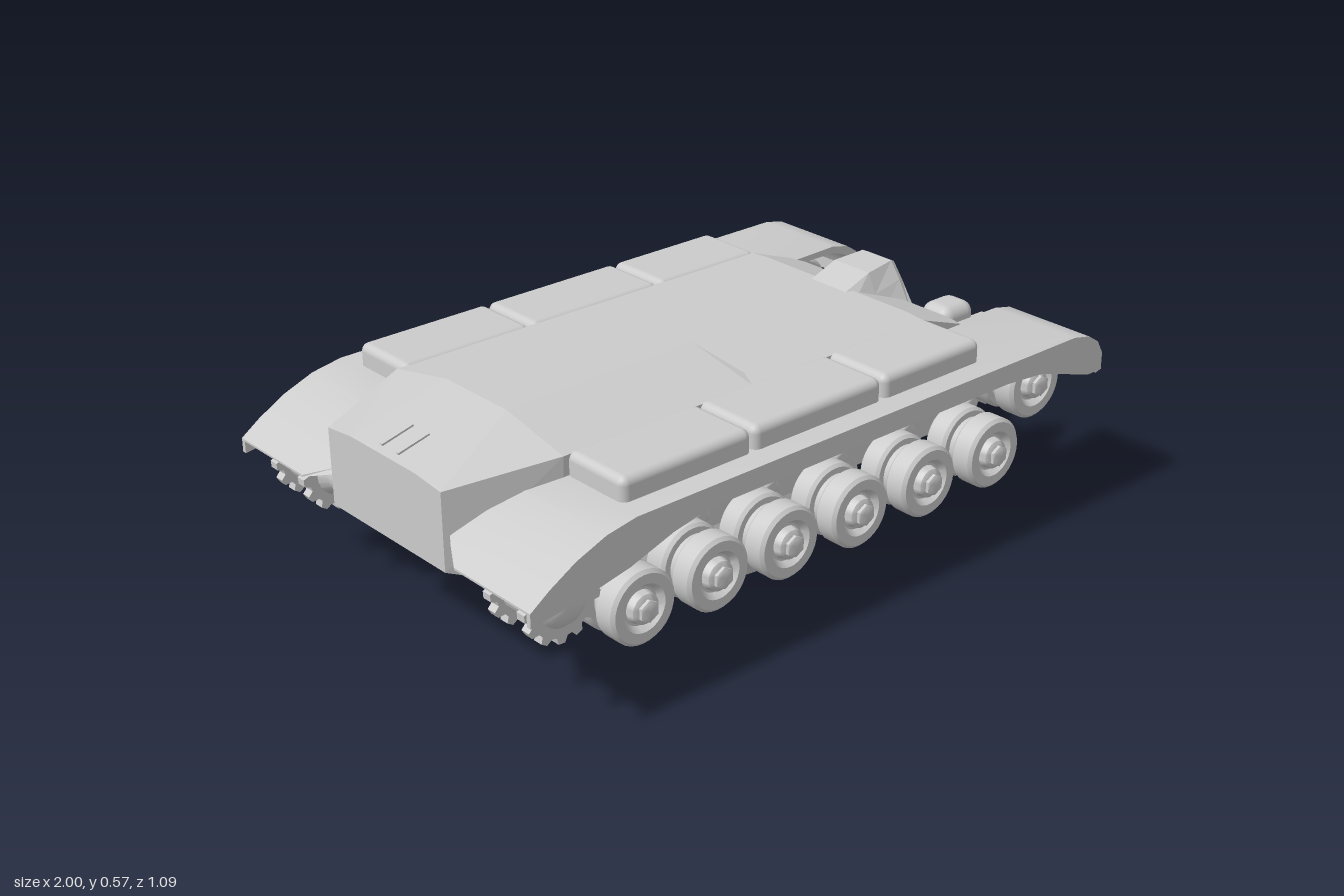
import * as THREE from 'three';
import { toCreasedNormals } from 'three/addons/utils/BufferGeometryUtils.js';
import { RoundedBoxGeometry } from 'three/addons/geometries/RoundedBoxGeometry.js';

const grey = new THREE.MeshStandardMaterial({ color: 0xcccccc, side: THREE.DoubleSide });

function add(parent, name, geometry, x = 0, y = 0, z = 0) {
  const mesh = new THREE.Mesh(geometry, grey);
  mesh.name = name;
  mesh.position.set(x, y, z);
  parent.add(mesh);
  return mesh;
}

// Skin a row of equal-length rings with flat faces and close both ends.
function loft(rings) {
  const out = [];
  const n = rings[0].length;
  const tri = (a, b, c) => out.push(...a, ...b, ...c);
  for (let k = 0; k < rings.length - 1; k++) {
    for (let i = 0; i < n; i++) {
      const j = (i + 1) % n;
      tri(rings[k][i], rings[k][j], rings[k + 1][i]);
      tri(rings[k][j], rings[k + 1][j], rings[k + 1][i]);
    }
  }
  const first = rings[0], last = rings[rings.length - 1];
  for (let i = 1; i < n - 1; i++) {
    tri(first[0], first[i + 1], first[i]);
    tri(last[0], last[i], last[i + 1]);
  }
  const g = new THREE.BufferGeometry();
  g.setAttribute('position', new THREE.Float32BufferAttribute(out, 3));
  g.computeVertexNormals();
  return g;
}

// Turned part: [radius, distance] pairs about the z or x axis.
function turned(profile, axis, sides = 28) {
  const g = new THREE.LatheGeometry(profile.map(p => new THREE.Vector2(...p)), sides);
  if (axis === 'z') g.rotateX(Math.PI / 2); else g.rotateZ(-Math.PI / 2);
  return toCreasedNormals(g, 0.6);
}

const shapeOf = pts => new THREE.Shape(pts.map(p => new THREE.Vector2(...p)));
const extrude = (pts, depth) =>
  toCreasedNormals(new THREE.ExtrudeGeometry(shapeOf(pts), { depth, bevelEnabled: false }), 0.5);

// Six-sided hull section, mirrored across z
const section = (x, bottom, wBottom, shoulder, w, top, wTop) => [
  [x, top, wTop], [x, shoulder, w], [x, bottom, wBottom],
  [x, bottom, -wBottom], [x, shoulder, -w], [x, top, -wTop]];

function buildHull(model) {
  const hull = new THREE.Group();
  hull.name = 'hull';
  model.add(hull);
  add(hull, 'hullBody', loft([
    section(-0.97, 0.30, 0.21, 0.49, 0.21, 0.50, 0.12),
    section(-0.72, 0.20, 0.29, 0.525, 0.305, 0.565, 0.11),
    section(-0.18, 0.20, 0.29, 0.525, 0.305, 0.565, 0.10),
    section(-0.155, 0.20, 0.29, 0.525, 0.305, 0.53, 0.25),
    section(0.38, 0.20, 0.29, 0.525, 0.305, 0.53, 0.25),
    section(0.52, 0.20, 0.29, 0.475, 0.30, 0.48, 0.25),
    section(0.56, 0.20, 0.29, 0.44, 0.295, 0.445, 0.25),
    section(0.67, 0.295, 0.29, 0.33, 0.29, 0.335, 0.20)]));
  // Hood standing on the upper front plate
  add(hull, 'driverHood', loft([
    section(0.36, 0.48, 0.09, 0.50, 0.085, 0.53, 0.06),
    section(0.44, 0.46, 0.11, 0.51, 0.085, 0.56, 0.06),
    section(0.53, 0.44, 0.13, 0.525, 0.08, 0.567, 0.05),
    section(0.545, 0.44, 0.13, 0.52, 0.075, 0.56, 0.045),
    section(0.575, 0.40, 0.10, 0.42, 0.08, 0.43, 0.05)]));
  // Bow gun in its blister
  add(hull, 'bowGunHousing', new RoundedBoxGeometry(0.11, 0.115, 0.095, 3, 0.03), 0.585, 0.43, 0.195);
  add(hull, 'bowGun', turned([[0, 0.62], [0.028, 0.62], [0.028, 0.645], [0.01, 0.655],
    [0.01, 0.72], [0, 0.72]], 'x', 16), 0, 0.41, 0.195);
  for (const s of [-1, 1]) {
    const rib = add(hull, 'deckRib', new THREE.BoxGeometry(0.085, 0.008, 0.008), -0.91, 0.516, s * 0.03);
    rib.rotation.z = 0.25;
  }
}

function buildFender(side) {
  // Curved top sheet; its inner edge follows the tapering rear of the hull
  const top = [[-1, 0.355], [-0.95, 0.39], [-0.88, 0.43], [-0.80, 0.461], [-0.72, 0.475], [0.66, 0.475],
    [0.715, 0.463], [0.75, 0.44], [0.77, 0.405], [0.77, 0.36]];
  const under = top.map(([x, y]) => [x > 0.7 ? x - 0.018 : x, y > 0.37 ? y - 0.018 : y - 0.005]);
  const sheet = extrude([...top, ...under.reverse()], 0.255);
  const p = sheet.attributes.position;
  for (let i = 0; i < p.count; i++) {
    const x = p.getX(i);
    if (p.getZ(i) < 0.01 && x < -0.73 && x > -0.99) p.setZ(i, (x + 0.72) * 0.36);
  }
  sheet.computeVertexNormals();
  add(side, 'fenderTop', toCreasedNormals(sheet, 0.5), 0, 0, 0.287);
  // Outer skirt, deeper at both ends
  add(side, 'fenderSkirt', extrude([...top, [0.72, 0.36], [0.64, 0.385], [0.54, 0.415], [0.42, 0.425],
    [-0.52, 0.425], [-0.62, 0.405], [-0.74, 0.365], [-0.86, 0.34], [-1, 0.32]], 0.012), 0, 0, 0.531);
  // Stowage boxes in a row
  const edges = [-0.71, -0.34, 0.06, 0.39];
  for (let i = 0; i < 3; i++) {
    const length = edges[i + 1] - edges[i];
    add(side, 'stowageBox', new RoundedBoxGeometry(length - 0.006, 0.075, 0.19, 3, 0.02),
      edges[i] + length / 2, 0.493, 0.387);
  }
}

function buildRunningGear(side) {
  // Twin-tyre wheel with a dished face and hub cap
  const wheel = turned([[0, -0.08], [0.05, -0.08], [0.055, -0.075], [0.082, -0.075], [0.09, -0.067],
    [0.09, -0.02], [0.083, -0.012], [0.068, -0.012], [0.068, 0.012], [0.083, 0.012], [0.09, 0.02],
    [0.09, 0.067], [0.082, 0.075], [0.058, 0.075], [0.046, 0.06], [0.04, 0.06],
    [0.036, 0.078], [0.026, 0.084], [0, 0.084]], 'z', 32);
  const hub = turned([[0.027, 0.07], [0.027, 0.092], [0.02, 0.096], [0, 0.096]], 'z', 6);
  const axle = turned([[0.025, -0.13], [0.025, -0.07]], 'z', 14);
  const roller = turned([[0, -0.06], [0.02, -0.06], [0.02, -0.03], [0.048, -0.03], [0.05, -0.025],
    [0.05, 0.025], [0.045, 0.03], [0.036, 0.03], [0.03, 0.015], [0.018, 0.015], [0.015, 0.03], [0, 0.03]], 'z', 20);
  const z = 0.41;

  const putWheel = (name, x, y) => {
    add(side, name, wheel, x, y, z);
    add(side, name + 'Hub', hub, x, y, z);
    add(side, name + 'Axle', axle, x, y, z);
  };
  for (const x of [-0.645, -0.43, -0.215, 0.01, 0.24, 0.47]) {
    putWheel('roadWheel', x, 0.2);
    const arm = add(side, 'swingArm', new RoundedBoxGeometry(0.15, 0.045, 0.03, 2, 0.012), x + 0.05, 0.225, 0.308);
    arm.rotation.z = 0.45;
  }
  putWheel('idler', 0.61, 0.345);
  for (const x of [-0.545, -0.345, -0.125, 0.105, 0.32]) {
    add(side, 'returnRoller', roller, x, 0.37, 0.36);
    add(side, 'rollerBracket', new THREE.BoxGeometry(0.04, 0.07, 0.05), x, 0.37, 0.305);
  }

  // Drive sprocket: two toothed rings on a drum
  const teeth = [];
  const count = 13;
  for (let i = 0; i < count; i++) {
    for (const [step, r] of [[0, 0.085], [0.3, 0.085], [0.45, 0.1], [0.8, 0.1]]) {
      const a = (i + step) / count * Math.PI * 2;
      teeth.push([Math.cos(a) * r, Math.sin(a) * r]);
    }
  }
  const ring = extrude(teeth, 0.025);
  for (const dz of [-0.07, 0.045]) add(side, 'sprocketRing', ring, -0.86, 0.3, z + dz);
  add(side, 'sprocketDrum', turned([[0, -0.14], [0.05, -0.14], [0.05, -0.09], [0.07, -0.06], [0.07, 0.06],
    [0.05, 0.085], [0.03, 0.095], [0, 0.095]], 'z', 24), -0.86, 0.3, z);
}

function buildTurret(model) {
  const turret = new THREE.Group();
  turret.name = 'turret';
  model.add(turret);
  // Rounded-octagon levels from the flat underside up to the overhanging rear
  const level = (y, back, front, w) => {
    const c = (back + front) / 2, h = (front - back) / 2;
    return Array.from({ length: 16 }, (_, i) => {
      const a = i / 16 * Math.PI * 2;
      const soft = v => Math.sign(v) * Math.pow(Math.abs(v), 0.7);
      return [c + h * soft(Math.sin(a)), y, w * soft(Math.cos(a))];
    });
  };
  add(turret, 'turretBody', loft([
    level(0, -0.335, 0.105, 0.25), level(0.075, -0.38, 0.15, 0.31),
    level(0.14, -0.61, 0.17, 0.295), level(0.205, -0.63, 0.18, 0.28)]));
  // Horizontal rotor carrying the gun
  add(turret, 'gunRotor', turned([[0, -0.235], [0.055, -0.235], [0.07, -0.22], [0.07, 0.22],
    [0.055, 0.235], [0, 0.235]], 'z', 28), 0.185, 0.13, 0);
  add(turret, 'mantletBoss', turned([[0.065, 0.15], [0.055, 0.24], [0.046, 0.335], [0.03, 0.345], [0, 0.345]], 'x'),
    0, 0.158, 0);
  add(turret, 'coaxialGun', turned([[0.015, 0.2], [0.015, 0.34], [0.008, 0.34], [0.008, 0.3]], 'x', 14), 0, 0.185, 0.13);
  // Main gun with its muzzle brake
  add(turret, 'gunBarrel', turned([[0, 0.08], [0.04, 0.08], [0.038, 0.17], [0.028, 0.24], [0.025, 0.83],
    [0.025, 0.85], [0.038, 0.88], [0.038, 0.91], [0.028, 0.915], [0.028, 0.955], [0.04, 0.96],
    [0.04, 0.98], [0.03, 1], [0.018, 1], [0.018, 0.93], [0, 0.93]], 'x'), 0, 0.07, 0);
  add(turret, 'muzzleBrakePort', turned([[0, -0.055], [0.022, -0.055], [0.026, -0.045], [0.026, 0.045],
    [0.022, 0.055], [0, 0.055]], 'z', 16), 0.935, 0.07, 0);
}

export function createModel() {
  const model = new THREE.Group();
  model.name = 'tank';
  buildHull(model);
  buildTurret(model);
  for (const s of [1, -1]) {
    const side = new THREE.Group();
    side.name = s > 0 ? 'leftTrackSide' : 'rightTrackSide';
    side.scale.z = s;
    buildFender(side);
    const gear = new THREE.Group();
    gear.name = 'runningGear';
    gear.position.z = -s * 0.012;
    buildRunningGear(gear);
    side.add(gear);
    model.add(side);
  }
  return model;
}
